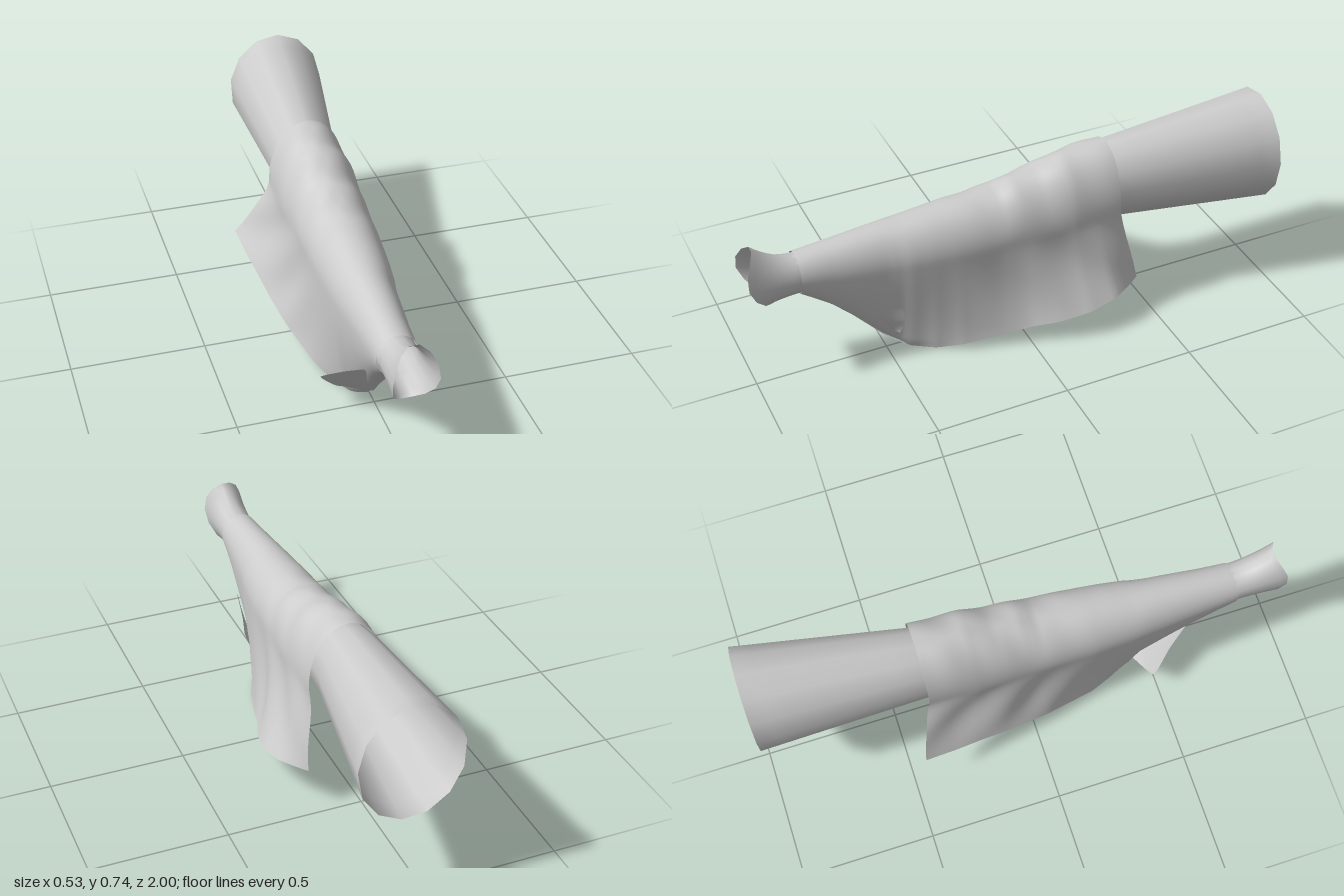
import * as THREE from 'three';

const material = new THREE.MeshStandardMaterial({ color: 0xcccccc, side: THREE.DoubleSide });
const { lerp, clamp, smoothstep } = THREE.MathUtils;

// Interpolates the rows of a table whose first column is a falling z
function sample(table, z) {
  let i = 0;
  while (i < table.length - 2 && z < table[i + 1][0]) i++;
  const a = table[i], b = table[i + 1];
  const t = clamp((a[0] - z) / (a[0] - b[0]), 0, 1);
  return a.map((v, k) => lerp(v, b[k], t));
}

// Grid surface from point(u, v), u and v in 0..1; closed surfaces share their seam
function surface(name, nu, nv, point, closed = false) {
  const pos = [], idx = [], cols = closed ? nu : nu + 1;
  for (let j = 0; j <= nv; j++)
    for (let i = 0; i < cols; i++) pos.push(...point(i / nu, j / nv));
  for (let j = 0; j < nv; j++)
    for (let i = 0; i < nu; i++) {
      const a = j * cols + i, b = j * cols + (i + 1) % cols;
      idx.push(a, b, a + cols, b, b + cols, a + cols);
    }
  const g = new THREE.BufferGeometry();
  g.setAttribute('position', new THREE.Float32BufferAttribute(pos, 3));
  g.setIndex(idx);
  g.computeVertexNormals();
  const mesh = new THREE.Mesh(g, material);
  mesh.name = name;
  return mesh;
}

// z, centre x, centre y, radius x, radius y
const TUBE = [
  [0.82, -0.027, 0.43, 0.068, 0.075],
  [0.4, -0.022, 0.445, 0.085, 0.09],
  [0, -0.012, 0.465, 0.105, 0.112],
  [-0.38, 0, 0.505, 0.127, 0.154],
  [-1, 0.05, 0.527, 0.19, 0.218],
];

// z, centre x, half width, top y, shoulder y, right hem x, left hem x, right hem y, left hem y, roundness
const DRAPE = [
  [0.81, -0.027, 0.073, 0.51, 0.43, -0.027, -0.027, 0.35, 0.35, 1],
  [0.7, -0.025, 0.082, 0.522, 0.42, -0.025, -0.025, 0.265, 0.265, 1],
  [0.6, -0.022, 0.092, 0.533, 0.415, -0.015, -0.015, 0.165, 0.165, 0.85],
  [0.5, -0.02, 0.102, 0.543, 0.41, -0.01, -0.01, 0.055, 0.055, 0.75],
  [0.455, -0.018, 0.108, 0.547, 0.41, -0.015, -0.005, 0.015, 0.015, 0.7],
  [0.42, -0.015, 0.114, 0.55, 0.41, -0.06, 0.03, 0.002, 0.002, 0.65],
  [0.34, -0.011, 0.122, 0.56, 0.41, -0.11, 0.095, 0.012, 0.012, 0.45],
  [0.25, -0.008, 0.13, 0.57, 0.41, -0.15, 0.14, 0.033, 0.03, 0.25],
  [0.06, -0.002, 0.139, 0.586, 0.42, -0.195, 0.19, 0.07, 0.065, 0],
  [0, -0.001, 0.141, 0.608, 0.42, -0.205, 0.205, 0.08, 0.077, 0],
  [-0.1, 0.001, 0.146, 0.625, 0.425, -0.22, 0.24, 0.1, 0.092, 0],
  [-0.2, 0.003, 0.152, 0.658, 0.43, -0.235, 0.264, 0.13, 0.118, 0],
  [-0.28, 0.004, 0.15, 0.668, 0.44, -0.25, 0.25, 0.155, 0.138, 0],
  [-0.38, 0.005, 0.147, 0.678, 0.45, -0.268, 0.18, 0.2, 0.15, 0],
];

function drapePoint(u, v) {
  const z = lerp(0.81, -0.38, v);
  const [, cx, w, top, mid, xr, xl, yr, yl, round] = sample(DRAPE, z);
  const t = 2 * u - 1, s = Math.sign(t), d = Math.abs(t);
  const loose = smoothstep(-z, -0.35, 0.05);
  // Arch over the arm
  if (d <= 0.45) {
    const a = (d / 0.45) * Math.PI / 2;
    const crease = 0.006 * loose * Math.sin(z * 34 + t * 7) * Math.sin(2 * a);
    return [cx + s * w * Math.sin(a), mid + (top - mid) * Math.cos(a) + crease, z];
  }
  // Hanging sides: rounded shut at the front, flared and open behind
  const k = (d - 0.45) / 0.55;
  const ease = lerp(Math.pow(k, 1.7), 1 - Math.sqrt(Math.max(0, 1 - k * k)), round);
  const fold = 0.008 * loose * Math.sin(k * Math.PI) * Math.sin(z * 24 + k * 4 + s);
  return [
    lerp(cx + s * w, s < 0 ? xr : xl, ease) + fold,
    lerp(mid, s < 0 ? yr : yl, k),
    z - 0.065 * k * smoothstep(-z, 0.1, 0.38),
  ];
}

// Ruled cloth patch between two edges
function flap(name, inner, outer, tension) {
  const [a, b] = [inner, outer].map((pts) => new THREE.CatmullRomCurve3(
    pts.map((p) => new THREE.Vector3(...p)), false, 'catmullrom', tension));
  return surface(name, 18, 4, (u, v) => a.getPoint(u).lerp(b.getPoint(u), v).toArray());
}

export function createModel() {
  const group = new THREE.Group();
  group.name = 'drapedSleeve';

  // Inner sleeve running the full length and widening to the back
  group.add(surface('innerSleeve', 13, 24, (u, v) => {
    const z = lerp(0.82, -1, v), a = u * Math.PI * 2 + 0.05;
    const [, cx, cy, rx, ry] = sample(TUBE, z);
    return [cx + rx * Math.cos(a), cy + ry * Math.sin(a), z];
  }, true));

  // Flared cuff with a wavy rim
  group.add(surface('cuff', 14, 8, (u, v) => {
    const a = u * Math.PI * 2, s = Math.sin(a), f = v * v;
    const rim = 0.935 + 0.025 * s + 0.065 * (1 - s * s);
    return [
      -0.026 + lerp(0.068, 0.08, f) * Math.cos(a),
      lerp(0.43, 0.457, f) + lerp(0.075, 0.124, f) * s,
      lerp(0.8, rim, v),
    ];
  }, true));

  // Wide outer sleeve hanging over the arm
  group.add(surface('outerSleeve', 64, 84, drapePoint));

  // Front hem wrapping across to the right, ending in a pointed corner
  group.add(flap('rightOverlap',
    [[-0.03, 0.275, 0.705], [-0.012, 0.2, 0.632], [-0.008, 0.11, 0.552], [-0.005, 0.055, 0.502], [0.03, 0.004, 0.425]],
    [[-0.07, 0.275, 0.655], [-0.13, 0.208, 0.56], [-0.192, 0.141, 0.48], [-0.13, 0.075, 0.46], [-0.02, 0.013, 0.425]], 0.25));

  // Small lip of the other hem showing on the left
  group.add(flap('leftOverlap',
    [[0.054, 0.264, 0.62], [0.055, 0.225, 0.58], [0.05, 0.17, 0.53], [0.035, 0.1, 0.48]],
    [[0.058, 0.264, 0.61], [0.087, 0.24, 0.47], [0.084, 0.17, 0.455], [0.056, 0.097, 0.465]], 0.4));

  return group;
}
